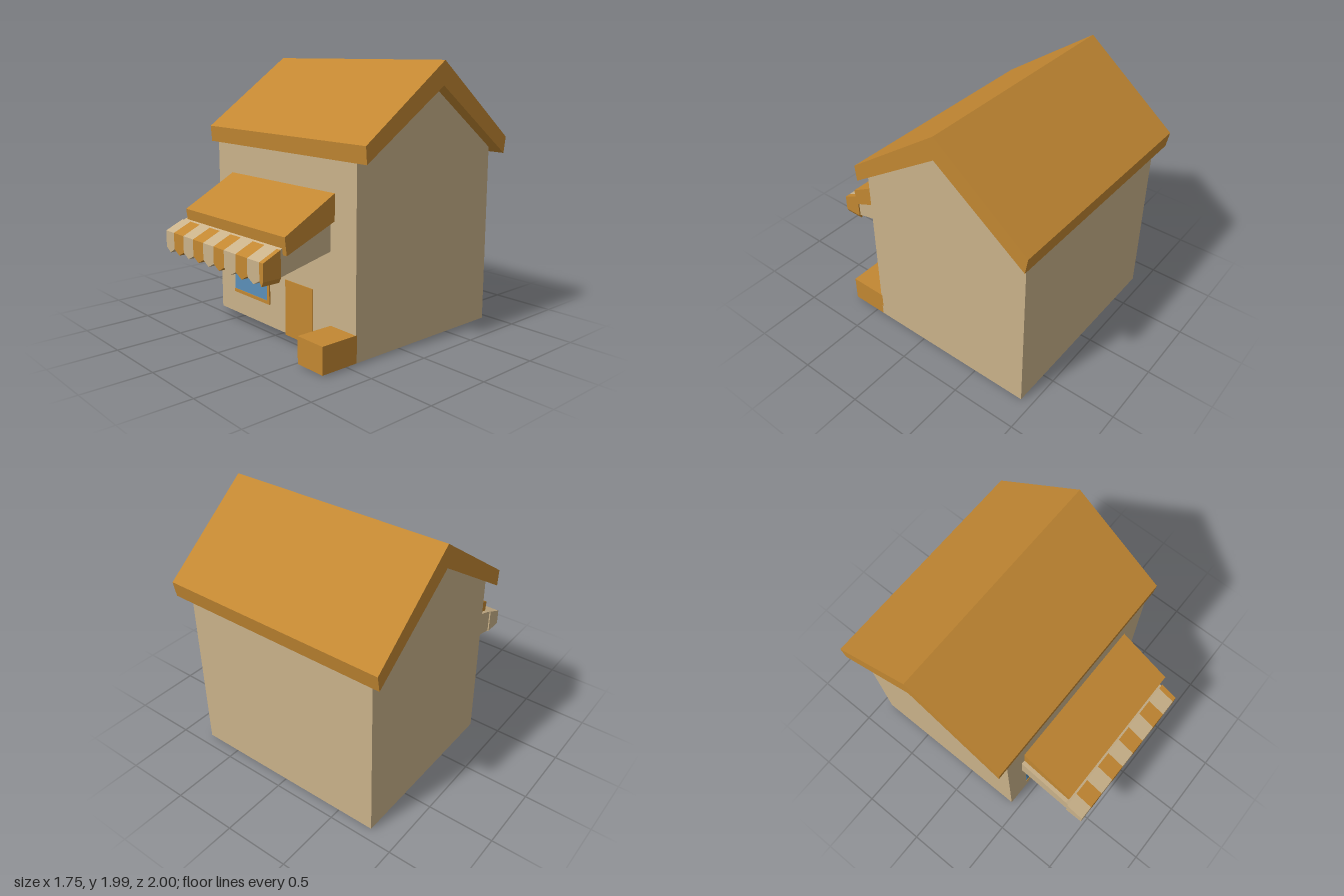
import * as THREE from 'three';

const mat = (name, color) => {
  const m = new THREE.MeshStandardMaterial({ color });
  m.name = name;
  return m;
};

// Closed [z, y] profile swept along x from x0 to x1
function sweepX(profile, x0, x1) {
  const shape = new THREE.Shape(profile.map(([z, y]) => new THREE.Vector2(z, y)));
  const geo = new THREE.ExtrudeGeometry(shape, { depth: x1 - x0, bevelEnabled: false });
  geo.rotateY(-Math.PI / 2);
  geo.translate(x1, 0, 0);
  return geo;
}

// Box given by its limits
function boxBetween(x0, x1, y0, y1, z0, z1) {
  const geo = new THREE.BoxGeometry(x1 - x0, y1 - y0, z1 - z0);
  geo.translate((x0 + x1) / 2, (y0 + y1) / 2, (z0 + z1) / 2);
  return geo;
}

// One valance stripe: pointed lower edge, top sloping down to the front
function stripeGeometry(x0, x1) {
  const zBack = 0.86, zFront = 1.0;
  const shape = new THREE.Shape([
    new THREE.Vector2(x0, 0.815),
    new THREE.Vector2(x0, 0.63),
    new THREE.Vector2((x0 + x1) / 2, 0.595),
    new THREE.Vector2(x1, 0.63),
    new THREE.Vector2(x1, 0.815),
  ]);
  const geo = new THREE.ExtrudeGeometry(shape, { depth: zFront - zBack, bevelEnabled: false });
  geo.translate(0, 0, zBack);
  const p = geo.attributes.position;
  for (let i = 0; i < p.count; i++) {
    if (p.getY(i) > 0.7) p.setY(i, p.getY(i) - (p.getZ(i) - zBack) * 0.45);
  }
  geo.computeVertexNormals();
  return geo;
}

export function createModel() {
  const orange = mat('orange', 0xc28732);
  const cream = mat('cream', 0xcab28a);
  const blue = mat('window blue', 0x5b8fb8);

  const model = new THREE.Group();
  model.name = 'shop';
  const add = (name, geo, material, parent = model) => {
    const mesh = new THREE.Mesh(geo, material);
    mesh.name = name;
    parent.add(mesh);
    return mesh;
  };

  // House with gable ends
  add('walls', sweepX([
    [0.43, 0.01], [0.43, 1.375], [-0.28, 1.835], [-0.92, 1.355], [-0.92, 0.01],
  ], -0.79, 0.78), cream);

  // Folded roof slab
  add('roof', sweepX([
    [0.435, 1.35], [0.445, 1.47], [-0.285, 1.99], [-0.995, 1.425], [-0.975, 1.305], [-0.28, 1.82],
  ], -0.88, 0.875), orange);

  // Awning: orange cover, cream lining and striped valance
  const awning = new THREE.Group();
  awning.name = 'awning';
  model.add(awning);
  add('awningCover', sweepX([
    [0.42, 1.135], [0.85, 0.9], [0.835, 0.775], [0.42, 0.945],
  ], -0.61, 0.57), orange, awning);
  add('awningLining', sweepX([
    [0.42, 0.96], [0.84, 0.82], [0.88, 0.8], [0.88, 0.625], [0.42, 0.73],
  ], -0.64, 0.53), cream, awning);
  const edges = [-0.65, -0.54, -0.41, -0.28, -0.15, -0.02, 0.105, 0.24, 0.37, 0.5, 0.54];
  for (let i = 0; i < edges.length - 1; i++) {
    add('valanceStripe' + (i + 1), stripeGeometry(edges[i], edges[i + 1]), i % 2 ? orange : cream, awning);
  }

  // Window with a bar on the right and a sill
  add('windowPane', boxBetween(-0.6, -0.175, 0.2, 0.572, 0.428, 0.434), blue);
  add('windowSideBar', boxBetween(-0.178, -0.15, 0.18, 0.572, 0.425, 0.44), orange);
  add('windowSill', boxBetween(-0.6, -0.15, 0.18, 0.205, 0.425, 0.44), orange);

  // Door
  add('door', boxBetween(0.04, 0.345, 0, 0.42, 0.33, 0.436), orange);

  // Crate by the corner
  add('crate', boxBetween(0.53, 0.78, 0.01, 0.205, 0.42, 0.72), orange);

  return model;
}
